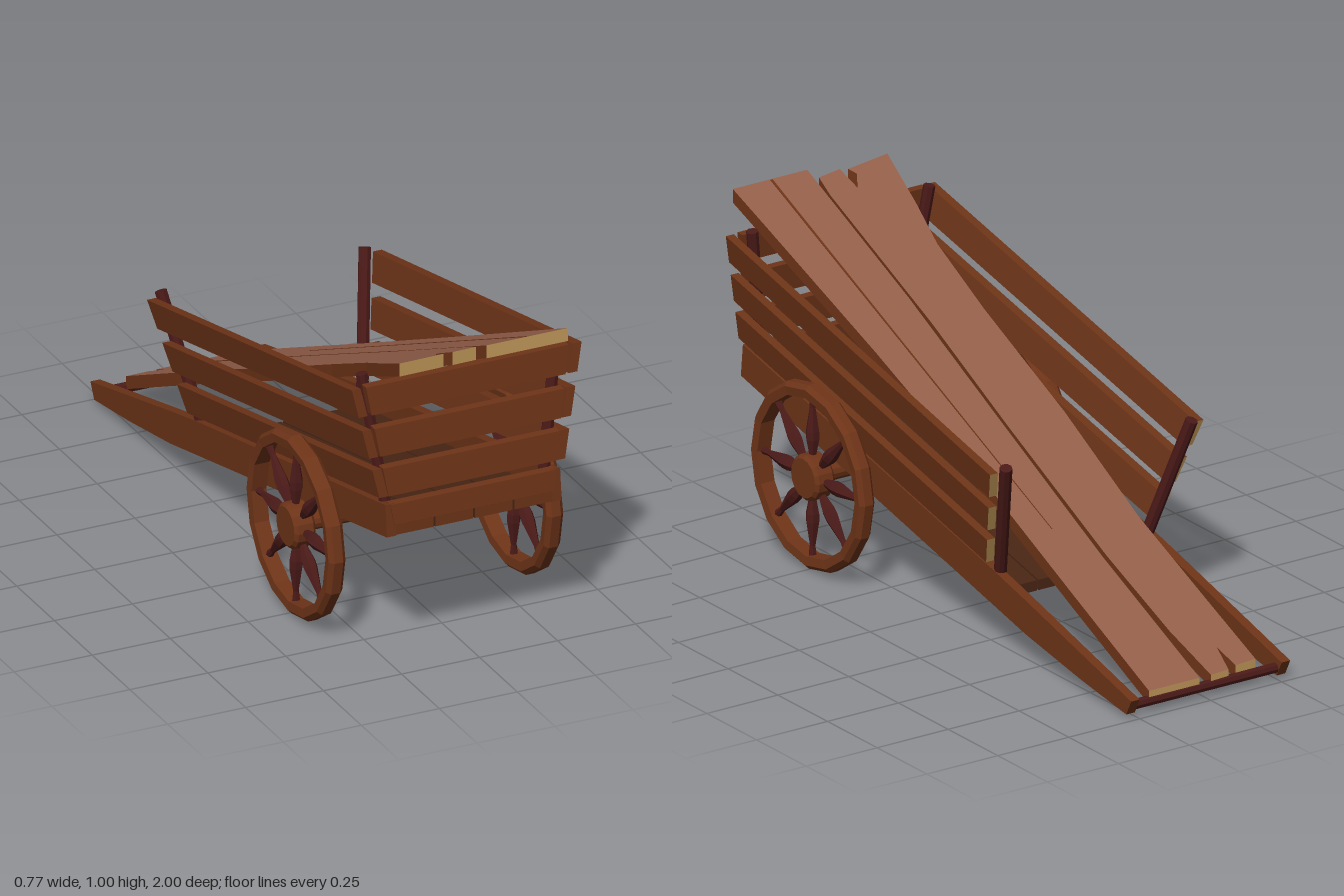
import * as THREE from 'three';

const paint = (c, flatShading = true) => new THREE.MeshStandardMaterial({ color: c, flatShading });
const wood = paint(0x6e3418);
const dark = paint(0x4a1a18);
const floorWood = paint(0x4a2614);
const paleWood = paint(0x96604a);
const endGrain = paint(0xc49a5a);

// The cart bed slopes down to the back; u is the height above this line
const base = (z) => 0.43 + 0.225 * (z - 0.965);
const frontEnd = (u) => 0.965 - 0.104 * u;
const backEnd = (u) => -0.3 - (u - 0.11) * 0.34;
const ROWS = [[0.128, 0.218], [0.257, 0.347], [0.391, 0.481]];

function add(parent, name, geometry, material) {
  const mesh = new THREE.Mesh(geometry, material);
  mesh.name = name;
  parent.add(mesh);
  return mesh;
}

// Box whose corners are placed by a rule of the three signs
function hexa(rule) {
  const g = new THREE.BoxGeometry(2, 2, 2);
  const p = g.attributes.position;
  for (let i = 0; i < p.count; i++) p.setXYZ(i, ...rule(p.getX(i), p.getY(i), p.getZ(i)));
  g.computeVertexNormals();
  return g;
}

// Round post or rail between two points
function rod(parent, name, a, b, r, material, sides = 8) {
  const from = new THREE.Vector3(...a), to = new THREE.Vector3(...b);
  const dir = to.clone().sub(from);
  const m = add(parent, name, new THREE.CylinderGeometry(r, r, dir.length(), sides), material);
  m.position.copy(from).add(to).multiplyScalar(0.5);
  m.quaternion.setFromUnitVectors(new THREE.Vector3(0, 1, 0), dir.normalize());
  return m;
}

const lathe = (pts, sides) => new THREE.LatheGeometry(pts.map((p) => new THREE.Vector2(...p)), sides);

// Loose plank: outline in x and z, laid on the loading slope
function plank(parent, name, outline) {
  const t = 0.042;
  const shape = new THREE.Shape(outline.map(([x, z]) => new THREE.Vector2(x, -z)));
  const g = new THREE.ExtrudeGeometry(shape, { depth: t, bevelEnabled: false });
  g.rotateX(-Math.PI / 2);
  const p = g.attributes.position;
  for (let i = 0; i < p.count; i++) p.setY(i, p.getY(i) - t + slope(p.getZ(i)));
  g.computeVertexNormals();
  // Sawn ends show pale grain
  g.clearGroups();
  const n = g.attributes.normal;
  for (let i = 0; i < p.count; i += 3) {
    const isEnd = Math.abs(n.getZ(i)) > 0.7;
    const isFace = Math.abs(n.getY(i)) > 0.7;
    g.addGroup(i, 3, isEnd ? 2 : isFace ? 0 : 1);
  }
  return add(parent, name, g, [paleWood, wood, endGrain]);
}
const slope = (z) => 0.06 + 0.472 * (z + 0.99);

function makeWheel() {
  const wheel = new THREE.Group();
  wheel.name = 'wheel';
  add(wheel, 'rim', lathe([[0.245, -0.024], [0.272, -0.027], [0.285, -0.014], [0.285, 0.014],
    [0.272, 0.027], [0.245, 0.024], [0.245, -0.024]], 16), wood);
  add(wheel, 'hub', lathe([[0, -0.034], [0.06, -0.034], [0.07, -0.024], [0.07, 0.024],
    [0.06, 0.034], [0, 0.034]], 16), wood);
  const spoke = lathe([[0.01, 0.06], [0.021, 0.115], [0.021, 0.14], [0.009, 0.215], [0.013, 0.25]], 6);
  for (let i = 0; i < 8; i++) {
    const holder = new THREE.Group();
    holder.name = 'spoke';
    holder.rotation.y = (i * Math.PI) / 4;
    add(holder, 'spokeBar', spoke, dark).rotation.x = Math.PI / 2;
    wheel.add(holder);
  }
  wheel.rotation.z = Math.PI / 2;
  return wheel;
}

export function createModel() {
  const cart = new THREE.Group();
  cart.name = 'cart';

  // Floor planks
  for (let i = 0; i < 4; i++) {
    const cx = (i - 1.5) * 0.127;
    add(cart, 'floorPlank', hexa((a, b, c) => {
      const z = c > 0 ? 0.963 : -0.31;
      return [cx + a * 0.0605, base(z) + 0.018 + b * 0.016, z];
    }), [floorWood, floorWood, floorWood, floorWood, wood, floorWood]);
  }

  // Front boards, leaning out with the sides
  for (const [lo, hi] of [[0.035, 0.1], ...ROWS]) {
    add(cart, 'frontBoard', hexa((a, b, c) => {
      const u = b > 0 ? hi : lo;
      const z = frontEnd(u) + 0.004;
      return [a * (0.25 + 0.155 * u), base(z) + u, z - (c > 0 ? 0 : 0.028)];
    }), wood);
  }

  for (const s of [-1, 1]) {
    // Flared side boards, pale sawn end at the back
    for (const [lo, hi] of ROWS) {
      add(cart, 'sideBoard', hexa((a, b, c) => {
        const u = b > 0 ? hi : lo;
        const z = c > 0 ? frontEnd(u) : backEnd(u);
        const taper = c > 0 ? -0.008 : 0;
        return [s * (0.266 + 0.2 * u + taper) + a * 0.014, base(z) + u, z];
      }), [wood, wood, wood, wood, wood, endGrain]);
    }

    // Bottom side board that runs on as a handle shaft
    const side = new THREE.Shape([[0.965, 0.43], [0.955, 0.53], [-0.3, 0.243], [-0.47, 0.2],
      [-1, 0.06], [-0.975, 0.012], [-0.75, 0.045], [-0.47, 0.095]].map((p) => new THREE.Vector2(...p)));
    const shaft = new THREE.ExtrudeGeometry(side, { depth: 0.03, bevelEnabled: false });
    shaft.rotateY(-Math.PI / 2).translate(s * 0.265 + 0.015, 0, 0);
    add(cart, 'shaft', shaft, wood);

    // Corner posts
    rod(cart, 'frontPost', [s * 0.248, 0.46, 0.905], [s * 0.312, 0.92, 0.862], 0.018, dark);
    rod(cart, 'backPost', [s * 0.25, 0.19, -0.295], [s * 0.327, 0.612, -0.437], 0.019, dark);

    const wheel = makeWheel();
    wheel.position.set(s * 0.349, 0.285, 0.505);
    cart.add(wheel);
  }

  rod(cart, 'axle', [-0.33, 0.287, 0.505], [0.33, 0.287, 0.505], 0.029, wood, 12);
  rod(cart, 'handleBar', [-0.278, 0.034, -0.968], [0.278, 0.034, -0.968], 0.016, dark);

  // Two loose planks, one with split ends
  plank(cart, 'leftPlank', [[0.022, 1], [0.284, 1], [0.272, 0.85], [0.235, 0.35], [0.208, -0.2],
    [0.205, -0.6], [0.2, -0.975], [0.022, -0.975], [0.032, -0.5], [0.024, 0], [0.014, 0.5]]);
  plank(cart, 'rightPlank', [[-0.25, 0.985], [-0.1, 0.968], [-0.115, 0.945], [-0.085, 0.9], [-0.075, 0.975],
    [0.005, 0.965], [0.012, 0.9], [0.004, 0.4], [0.014, 0], [0.018, -0.5], [0.004, -0.8], [-0.018, -0.975],
    [-0.082, -0.972], [-0.098, -0.89], [-0.112, -0.965], [-0.185, -0.96], [-0.175, -0.7], [-0.165, -0.4],
    [-0.185, 0], [-0.182, 0.4], [-0.192, 0.65], [-0.222, 0.8]]);

  // Long dark crack along the left plank
  add(cart, 'plankCrack', hexa((a, b, c) => {
    const z = c > 0 ? 0.997 : -0.37;
    return [(c > 0 ? 0.15 : 0.118) + a * (c > 0 ? 0.004 : 0.001), slope(z) - 0.002 + b * 0.0035, z];
  }), wood);

  return cart;
}
